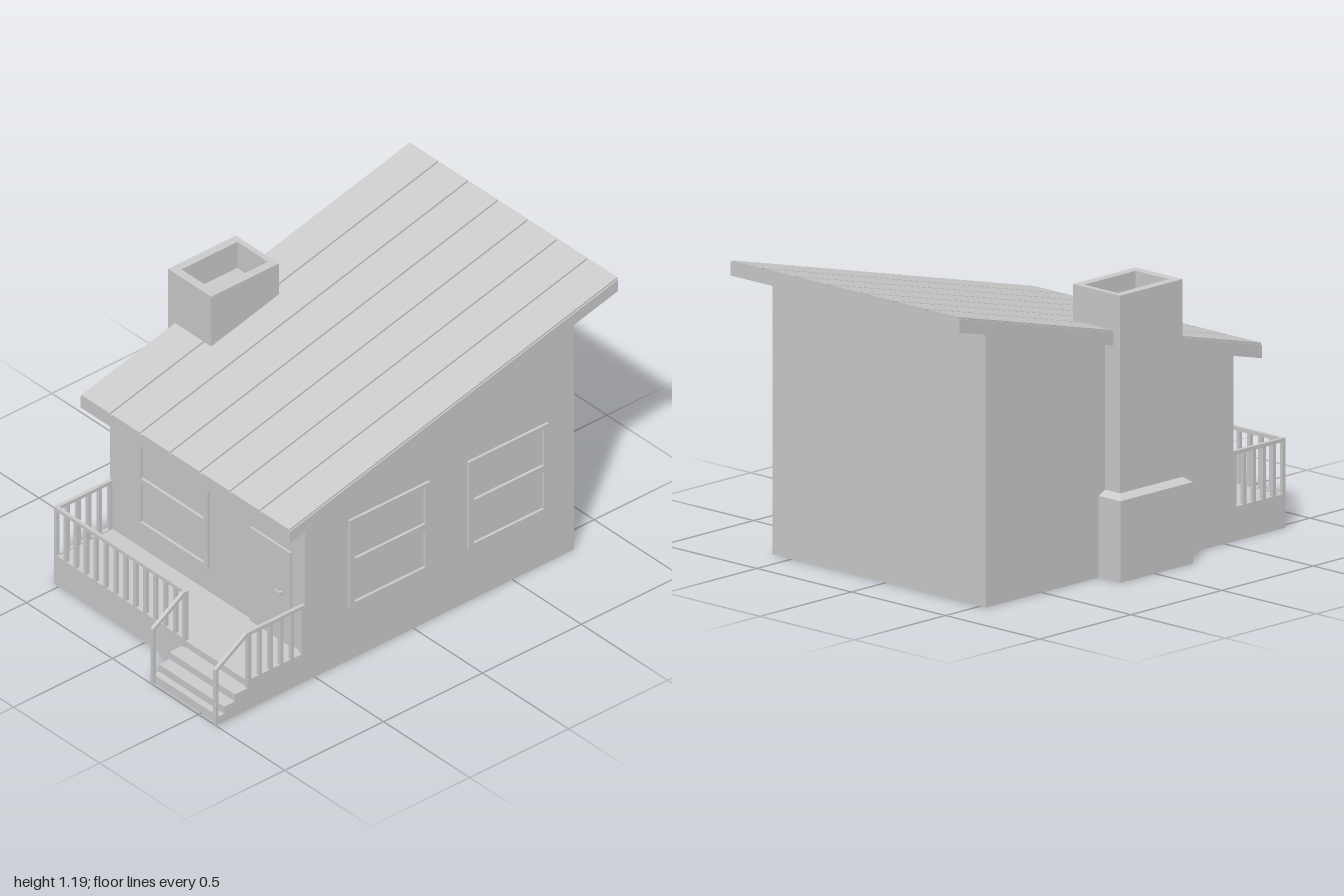
import * as THREE from 'three';

const material = new THREE.MeshStandardMaterial({ color: 0xcccccc, flatShading: true, side: THREE.DoubleSide });

function mesh(name, geometry, parent) {
  const m = new THREE.Mesh(geometry, material);
  m.name = name;
  parent.add(m);
  return m;
}

// Box from its min and max on each axis
function box(name, parent, x0, x1, y0, y1, z0, z1) {
  const g = new THREE.BoxGeometry(x1 - x0, y1 - y0, z1 - z0);
  g.translate((x0 + x1) / 2, (y0 + y1) / 2, (z0 + z1) / 2);
  return mesh(name, g, parent);
}

const points = (list) => list.map(([a, b]) => new THREE.Vector2(a, b));
const rect = (a0, a1, b0, b1) => [[a0, b0], [a1, b0], [a1, b1], [a0, b1]];

// Flat panel with holes, extruded along +z
function panel(outline, holes, depth) {
  const shape = new THREE.Shape(points(outline));
  for (const h of holes) shape.holes.push(new THREE.Path(points(h)));
  return new THREE.ExtrudeGeometry(shape, { depth, bevelEnabled: false });
}

// Side profile in (z, y), extruded from x0 to x1
function sideProfile(outline, holes, x0, x1) {
  return panel(outline, holes, x1 - x0).rotateY(-Math.PI / 2).translate(x1, 0, 0);
}

// Railing outline with evenly spaced openings between a0 and a1
const RAIL_BOTTOM = 0.125, RAIL_TOP = 0.355, POST = 0.016;
function railing(a0, a1, count) {
  const pitch = (a1 - a0 - POST) / count;
  const holes = [];
  for (let i = 0; i < count; i++) {
    const a = a0 + POST + i * pitch;
    holes.push(rect(a, a + pitch - POST, 0.135, 0.34));
  }
  return [rect(a0, a1, RAIL_BOTTOM, RAIL_TOP), holes];
}

// Window frame with two panes, centred on its own width
function windowFrame(width, y0, y1, panes) {
  const h = width / 2, p = h - 0.025;
  return panel(rect(-h, h, y0, y1), panes.map(([b0, b1]) => rect(-p, p, b0, b1)), 0.012);
}

export function createModel() {
  const house = new THREE.Group();
  house.name = 'house';
  const L = -0.53, R = 0.6, BACK = -0.81, FRONT = 0.55, DECK = 0.13, PORCH = 0.835, T = 0.004;

  // Walls with a raised floor, and a hollow foundation skirt below
  const under = (z) => 0.71 + (0.66 - z) * 0.253;
  mesh('walls', sideProfile([
    [BACK, DECK], [FRONT, DECK], [FRONT, under(FRONT) + 0.01], [BACK, under(BACK) + 0.01],
  ], [], L, R), house);
  const foundation = new THREE.Group();
  foundation.name = 'foundation';
  house.add(foundation);
  box('backSkirt', foundation, L, R, 0, DECK, BACK, BACK + T);
  box('frontSkirt', foundation, L, R, 0, DECK, FRONT - T, FRONT);
  box('rightSkirt', foundation, L, L + T, 0, DECK, BACK, PORCH);
  box('leftSkirt', foundation, R - T, R, 0, DECK, BACK, PORCH);
  box('porchSkirt', foundation, L, 0.235, 0, DECK, PORCH - T, PORCH);

  // Sloping roof slab with seven raised panels
  const roof = new THREE.Group();
  roof.name = 'roof';
  house.add(roof);
  const layer = (lo, hi) => [[0.66, 0.71 + lo], [0.66, 0.71 + hi], [-1, 1.13 + hi], [-1, 1.13 + lo]];
  const RX0 = -0.575, RX1 = 0.64, step = (RX1 - RX0) / 7;
  mesh('roofSlab', sideProfile(layer(0, 0.053), [], RX0, RX1), roof);
  for (let i = 0; i < 7; i++) {
    const x = RX0 + i * step;
    mesh('roofPanel', sideProfile(layer(0.053, 0.061), [], x + 0.005, x + step - 0.005), roof);
  }

  // Chimney: wide base, sloped shoulder, shaft and open top
  const chimney = new THREE.Group();
  chimney.name = 'chimney';
  house.add(chimney);
  const CX0 = -0.61, CX1 = -0.36, CZ0 = -0.155, CZ1 = 0.187;
  box('chimneyBase', chimney, -0.645, -0.325, 0, 0.322, -0.19, 0.207);
  const shoulder = box('chimneyShoulder', chimney, -0.645, -0.325, 0.322, 0.34, -0.19, 0.207);
  const pos = shoulder.geometry.attributes.position;
  for (let i = 0; i < pos.count; i++) {
    if (pos.getY(i) < 0.33) continue;
    pos.setX(i, pos.getX(i) < -0.5 ? CX0 : CX1);
    pos.setZ(i, pos.getZ(i) < 0 ? CZ0 : CZ1);
  }
  shoulder.geometry.computeVertexNormals();
  box('chimneyShaft', chimney, CX0, CX1, 0.34, 1.0, CZ0, CZ1);
  const flue = panel(rect(CX0, CX1, -CZ1, -CZ0), [rect(CX0 + 0.036, CX1 - 0.036, -CZ1 + 0.036, -CZ0 - 0.024)], 0.12);
  mesh('chimneyTop', flue.rotateX(-Math.PI / 2).translate(0, 1.0, 0), chimney);

  // Windows: one in front, two on the left side
  const frontWindow = mesh('frontWindow', windowFrame(0.415, 0.24, 0.65, [[0.257, 0.432], [0.46, 0.633]]), house);
  frontWindow.position.set(-0.157, 0, FRONT);
  for (const z of [0.128, -0.472]) {
    const w = mesh('sideWindow', windowFrame(0.405, 0.245, 0.65, [[0.265, 0.438], [0.465, 0.632]]), house);
    w.rotation.y = Math.PI / 2;
    w.position.set(R, 0, z);
  }

  // Front door with lever handle
  const door = new THREE.Group();
  door.name = 'door';
  house.add(door);
  box('doorLeaf', door, 0.292, 0.525, DECK, 0.56, FRONT, FRONT + 0.01);
  box('handleHub', door, 0.473, 0.485, 0.347, 0.362, FRONT + 0.01, FRONT + 0.022);
  box('handleLever', door, 0.448, 0.485, 0.354, 0.362, FRONT + 0.018, FRONT + 0.026);

  // Porch deck and railings
  const porch = new THREE.Group();
  porch.name = 'porch';
  house.add(porch);
  box('deck', porch, L, R, DECK - T, DECK, FRONT, PORCH);
  const frontRail = panel(...railing(L, 0.235, 13), 0.015);
  mesh('frontRailing', frontRail.translate(0, 0, PORCH - 0.015), porch);
  for (const x of [L, R - 0.015]) {
    mesh('sideRailing', sideProfile(...railing(FRONT, PORCH, 5), x, x + 0.015), porch);
  }

  // Stairs: open-backed treads and risers
  const stairs = new THREE.Group();
  stairs.name = 'stairs';
  house.add(stairs);
  const edges = [1, 0.957, 0.903, PORCH], heights = [0, 0.035, 0.068, 0.1, DECK];
  const SX0 = 0.22, SX1 = R;
  for (let i = 0; i < 4; i++) {
    const front = i === 0 ? 0.985 : edges[i];
    box('riser', stairs, SX0 + 0.015, SX1 - 0.015, heights[i], heights[i + 1], front - T, front);
    if (i < 3) box('tread', stairs, SX0 + 0.015, SX1 - 0.015, heights[i + 1] - T, heights[i + 1], edges[i + 1] - T, front);
  }

  // Stair sides: stepped stringer, end post and sloping handrail in one
  const side = [[PORCH, 0], [1, 0], [1, 0.255], [0.843, RAIL_TOP], [PORCH - 0.015, RAIL_TOP], [PORCH - 0.015, DECK], [PORCH, DECK]];
  const opening = [
    [0.985, 0.035], [0.985, 0.247], [0.84, 0.338], [0.84, 0.1],
    [0.903, 0.1], [0.903, 0.068], [0.957, 0.068], [0.957, 0.035],
  ];
  for (const x of [SX0, SX1 - 0.015]) {
    mesh('stairSide', sideProfile(side, [opening], x, x + 0.015), stairs);
  }
  return house;
}
